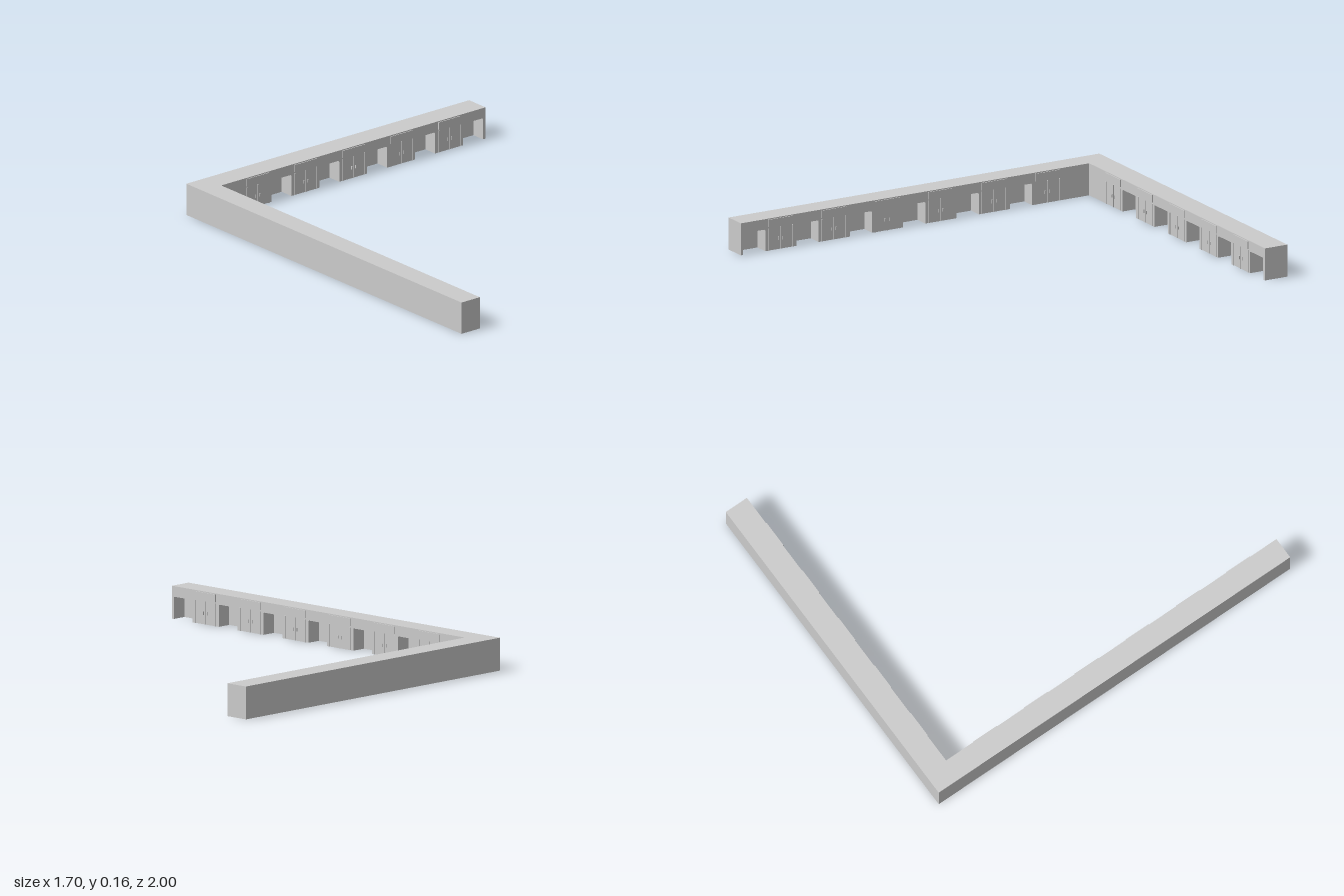
import * as THREE from 'three';

const HEIGHT = 0.155, RECESS = 0.07, OPEN_W = 0.12, OPEN_H = 0.105, PITCH = 0.288;
const material = new THREE.MeshStandardMaterial({ color: 0xcccccc, flatShading: true });

function add(parent, name, geometry, x = 0, y = 0, z = 0) {
  const mesh = new THREE.Mesh(geometry, material);
  mesh.name = name;
  mesh.position.set(x, y, z);
  parent.add(mesh);
  return mesh;
}

function box(parent, name, w, h, d, x, y, z) {
  return add(parent, name, new THREE.BoxGeometry(w, h, d), x, y, z);
}

// Front wall with doorways cut up from the ground, corners slightly rounded
function facadeGeometry(start, end, openings) {
  const shape = new THREE.Shape();
  const r = 0.006, half = OPEN_W / 2;
  shape.moveTo(start, 0);
  for (const c of openings) {
    shape.lineTo(c - half, 0);
    shape.lineTo(c - half, OPEN_H - r);
    shape.quadraticCurveTo(c - half, OPEN_H, c - half + r, OPEN_H);
    shape.lineTo(c + half - r, OPEN_H);
    shape.quadraticCurveTo(c + half, OPEN_H, c + half, OPEN_H - r);
    shape.lineTo(c + half, 0);
  }
  shape.lineTo(end, 0);
  shape.lineTo(end, HEIGHT);
  shape.lineTo(start, HEIGHT);
  return new THREE.ExtrudeGeometry(shape, { depth: RECESS, bevelEnabled: false, curveSegments: 3 });
}

// Shop front: sign board above a pair of door leaves with slim posts
function shopFront(parent, x) {
  const shop = new THREE.Group();
  shop.name = 'shopFront';
  shop.position.x = x;
  box(shop, 'signBoard', 0.134, 0.036, 0.005, 0, 0.132, 0.0015);
  for (const px of [-0.065, 0, 0.065]) {
    box(shop, 'doorPost', 0.004, 0.108, 0.004, px, 0.054, 0.001);
  }
  for (const side of [-1, 1]) {
    box(shop, 'doorHandle', 0.004, 0.016, 0.005, side * 0.012, 0.052, 0.0015);
  }
  parent.add(shop);
}

// One wing: local x runs along the wall, the facade faces +z at z = 0
function wing(name, start, end, depth, firstOpening, count, shopOffset) {
  const group = new THREE.Group();
  group.name = name;
  const openings = Array.from({ length: count }, (_, i) => firstOpening + i * PITCH);
  add(group, 'facade', facadeGeometry(start, end, openings), 0, 0, -RECESS);
  const back = depth - RECESS;
  box(group, 'backWall', end - start, HEIGHT, back, (start + end) / 2, HEIGHT / 2, -RECESS - back / 2);
  openings.forEach((c) => shopFront(group, c + shopOffset));
  return group;
}

export function createModel() {
  const model = new THREE.Group();
  model.name = 'courtyardArcade';

  const rearWing = wing('rearWing', -0.74, 0.85, 0.12, -0.378, 5, -0.142);
  rearWing.position.z = -0.88;
  model.add(rearWing);

  const sideWing = wing('sideWing', -1, 1, 0.11, -0.928, 6, 0.142);
  sideWing.rotation.y = Math.PI / 2;
  sideWing.position.x = -0.74;
  model.add(sideWing);

  return model;
}
